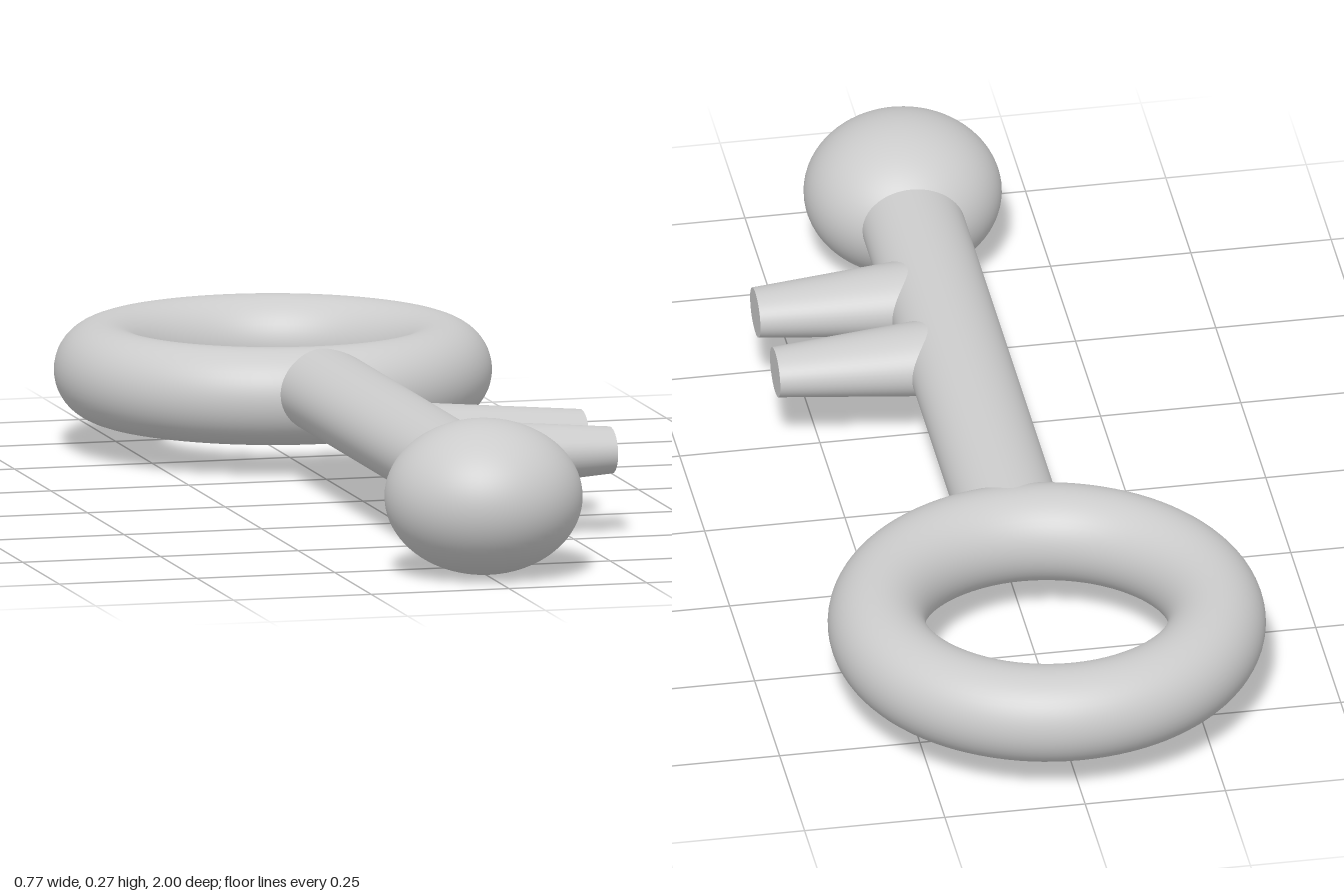
import * as THREE from 'three';

export function createModel() {
  const group = new THREE.Group();
  const material = new THREE.MeshStandardMaterial({ color: 0xcccccc });

  const add = (name, geometry, x, y, z) => {
    const mesh = new THREE.Mesh(geometry, material);
    mesh.name = name;
    mesh.position.set(x, y, z);
    group.add(mesh);
    return mesh;
  };

  // Ring handle, lying flat
  add('ringHandle', new THREE.TorusGeometry(0.2985, 0.086, 48, 96).rotateX(Math.PI / 2), 0, 0.139, -0.616);

  // Shaft, slightly flattened, running from the ring into the ball
  const shaftBack = -0.33, shaftFront = 0.76;
  const shaft = new THREE.CylinderGeometry(0.091, 0.091, shaftFront - shaftBack, 64).rotateX(Math.PI / 2);
  shaft.scale(1, 0.79, 1);
  add('shaft', shaft, 0.006, 0.152, (shaftBack + shaftFront) / 2);

  // Flattened ball at the tip
  add('tipBall', new THREE.SphereGeometry(0.174, 64, 40).scale(1, 0.787, 1), 0, 0.137, 0.826);

  // Two tapered teeth, narrowing away from the shaft
  const toothLength = 0.328;
  for (const [name, z] of [['rearTooth', 0.26], ['frontTooth', 0.459]]) {
    const tooth = new THREE.CylinderGeometry(0.052, 0.085, toothLength, 48).rotateZ(-Math.PI / 2);
    tooth.scale(1, 0.79, 1);
    add(name, tooth, toothLength / 2, 0.149, z);
  }

  return group;
}
